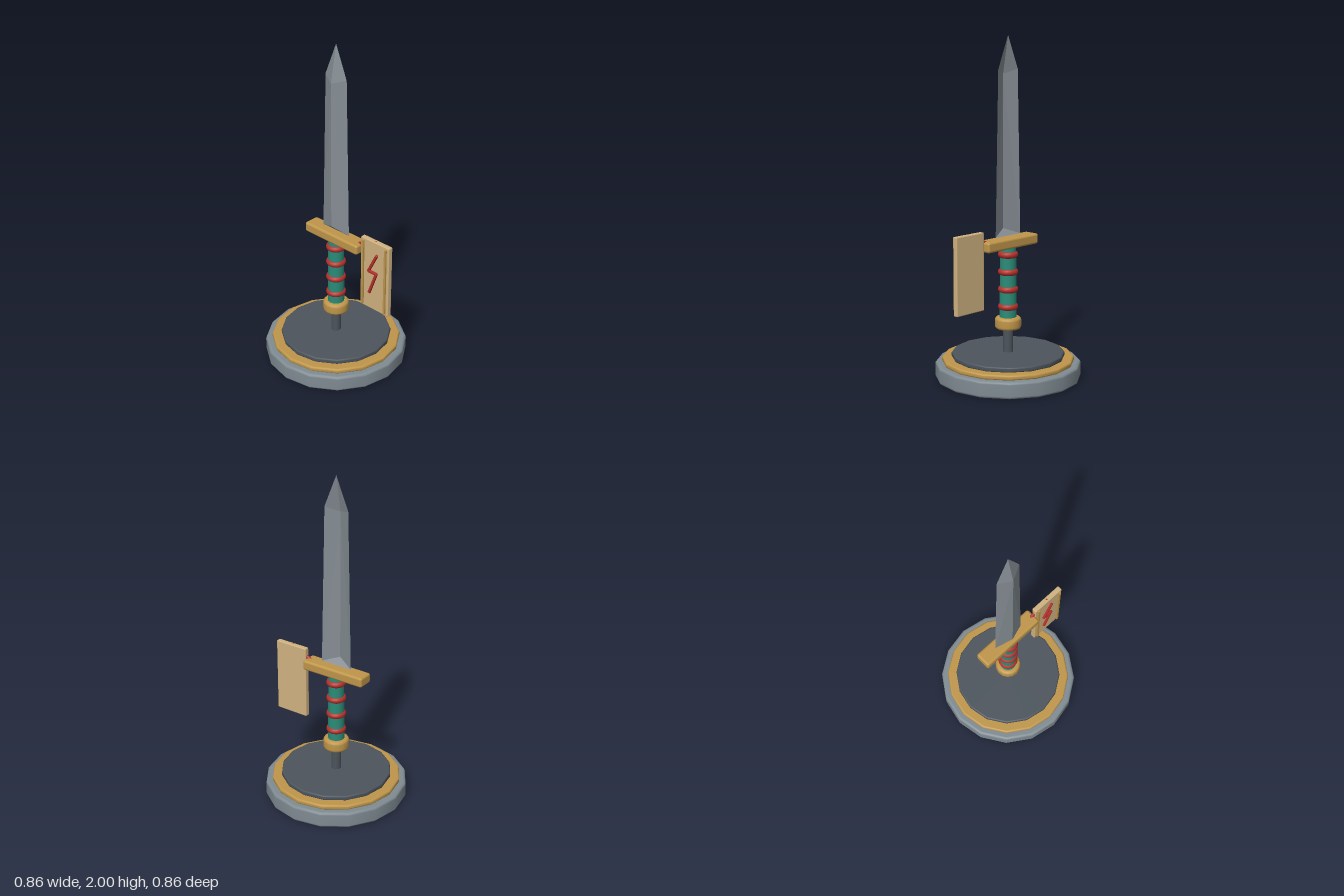
import * as THREE from 'three';
import { RoundedBoxGeometry } from 'three/addons/geometries/RoundedBoxGeometry.js';

const mat = (name, color, side = THREE.FrontSide) => {
  const m = new THREE.MeshStandardMaterial({ color, side });
  m.name = name;
  return m;
};

// Disc or collar with softened rims, turned around y
function roundedDisc(radius, y0, y1, bevel, sides) {
  const pts = [[0, y0], [radius - bevel * 1.15, y0]];
  const arc = (cy, from) => {
    for (let i = 0; i <= 3; i++) {
      const a = from + (i / 3) * Math.PI / 2;
      pts.push([radius - bevel + Math.cos(a) * bevel, cy + Math.sin(a) * bevel]);
    }
  };
  arc(y0 + bevel, -Math.PI / 2);
  arc(y1 - bevel, 0);
  pts.push([radius - bevel * 1.15, y1], [0, y1]);
  return new THREE.LatheGeometry(pts.map(([x, y]) => new THREE.Vector2(x, y)), sides);
}

// Half blade: raised front ridge, open hollow back
function bladeGeometry() {
  const tip = [0, 2, 0], ridgeTop = [0, 1.78, 0.04], ridgeBottom = [0, 0.887, 0.04];
  const corners = [];
  for (const s of [-1, 1]) {
    const low = [0.103 * s, 0.848, 0], shoulder = [0.08 * s, 1.807, 0];
    const faces = [
      [low, ridgeBottom, ridgeTop],
      [low, ridgeTop, shoulder],
      [shoulder, ridgeTop, tip],
      [low, [0, 0.848, 0], ridgeBottom],
    ];
    for (const f of faces) corners.push(...(s < 0 ? f : [...f].reverse()).flat());
  }
  const g = new THREE.BufferGeometry();
  g.setAttribute('position', new THREE.Float32BufferAttribute(corners, 3));
  g.computeVertexNormals();
  return g;
}

export function createModel() {
  const steel = mat('blade steel', 0x858d93, THREE.DoubleSide);
  const stone = mat('base grey', 0x7f8b92);
  const slate = mat('dark slate', 0x4c545c);
  const gold = mat('gold', 0xbf964a);
  const paper = mat('parchment', 0xd0b280);
  const red = mat('red cord', 0xb5302b);
  const teal = mat('teal grip', 0x2a8c78);

  const model = new THREE.Group();
  model.name = 'daggerOnStand';
  const add = (name, geometry, material, x = 0, y = 0, z = 0, parent = model) => {
    const m = new THREE.Mesh(geometry, material);
    m.name = name;
    m.position.set(x, y, z);
    parent.add(m);
    return m;
  };

  // Stand
  add('baseDisc', roundedDisc(0.43, 0, 0.098, 0.015, 16), stone);
  add('baseTrim', roundedDisc(0.39, 0.096, 0.126, 0.01, 16), gold);
  add('basePlate', roundedDisc(0.333, 0.124, 0.154, 0.008, 16), slate);
  add('standRod', new THREE.CylinderGeometry(0.03, 0.03, 0.16, 12), slate, 0, 0.225, 0);

  // Hilt
  add('pommel', roundedDisc(0.078, 0.293, 0.365, 0.018, 16), gold);
  add('grip', new THREE.CylinderGeometry(0.047, 0.05, 0.43, 16), teal, 0, 0.57, 0);
  for (const y of [0.427, 0.531, 0.635, 0.738]) {
    const ring = add('gripRing', new THREE.TorusGeometry(0.04, 0.02, 10, 20), red, 0, y, 0);
    ring.rotation.x = Math.PI / 2;
  }
  add('crossguard', new RoundedBoxGeometry(0.418, 0.062, 0.1, 3, 0.014), gold, 0, 0.808, 0);
  add('blade', bladeGeometry(), steel);

  // Hanging tag
  const tag = new THREE.Group();
  tag.name = 'tag';
  model.add(tag);
  add('tagPlate', new RoundedBoxGeometry(0.215, 0.455, 0.032, 2, 0.006), paper, 0.319, 0.67, 0, tag);
  for (const x of [0.234, 0.404]) {
    add('tagStrip', new THREE.BoxGeometry(0.013, 0.425, 0.014), gold, x, 0.67, 0.019, tag);
  }

  // Zigzag mark made of three bars
  const zigzag = [[0.34, 0.82], [0.279, 0.697], [0.339, 0.697], [0.287, 0.555]];
  for (let i = 0; i < 3; i++) {
    const [ax, ay] = zigzag[i], [bx, by] = zigzag[i + 1];
    const length = Math.hypot(bx - ax, by - ay) + 0.008;
    const bar = add('tagMark', new RoundedBoxGeometry(length, 0.016, 0.016, 2, 0.004), red,
      (ax + bx) / 2, (ay + by) / 2, 0.021, tag);
    bar.rotation.z = Math.atan2(by - ay, bx - ax);
  }

  // Cord from the guard into the tag
  const cord = new THREE.LineCurve3(new THREE.Vector3(0.19, 0.834, 0), new THREE.Vector3(0.315, 0.889, 0));
  add('tagCord', new THREE.TubeGeometry(cord, 4, 0.01, 8), red, 0, 0, 0, tag);
  for (const t of [0, 1]) {
    const p = cord.getPoint(t);
    add('cordEnd', new THREE.SphereGeometry(0.01, 8, 6), red, p.x, p.y, p.z, tag);
  }

  return model;
}
